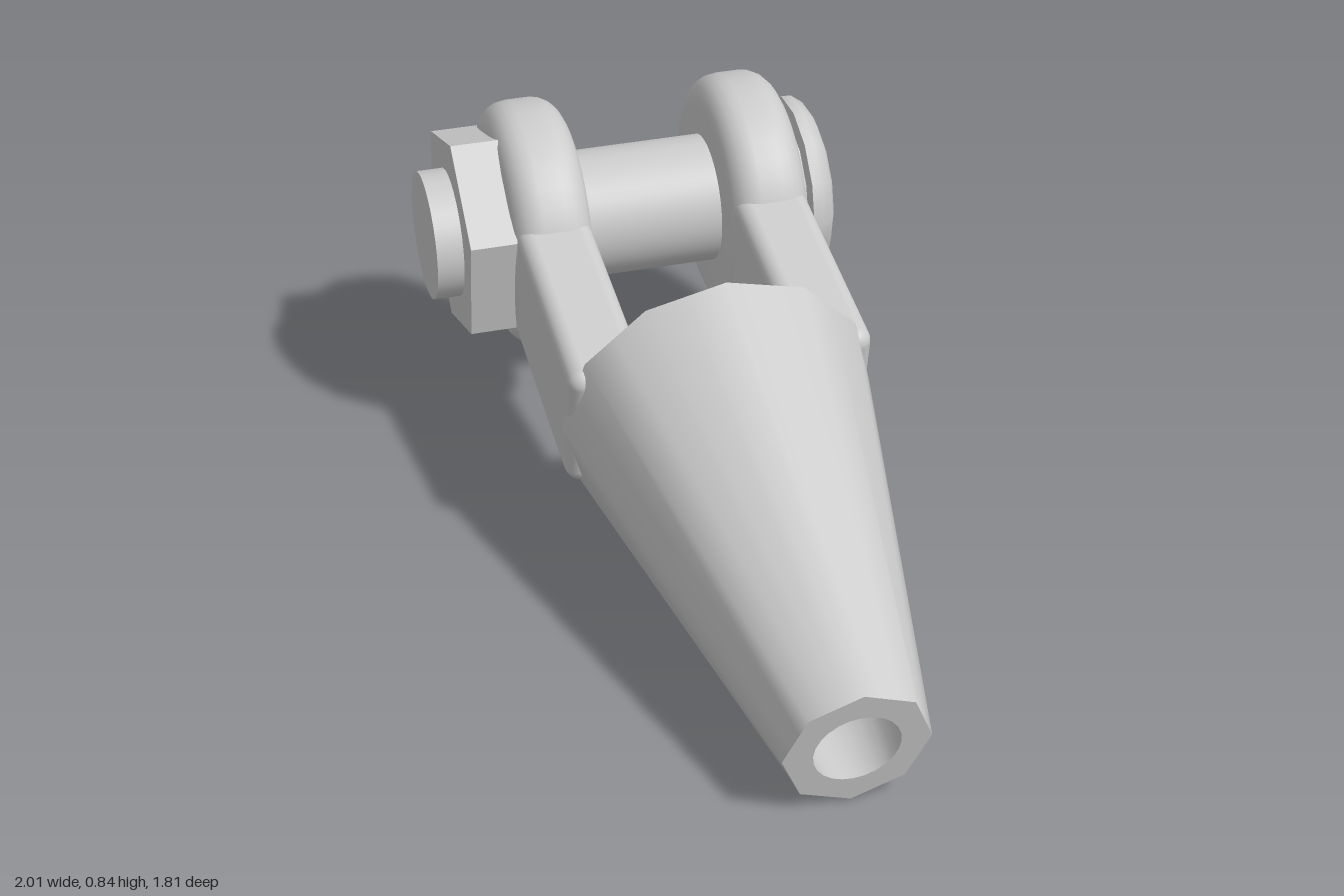
import * as THREE from 'three';
import { toCreasedNormals } from 'three/addons/utils/BufferGeometryUtils.js';
import { RoundedBoxGeometry } from 'three/addons/geometries/RoundedBoxGeometry.js';

const material = new THREE.MeshStandardMaterial({ color: 0xcccccc });

function addPart(parent, name, geometry) {
  const mesh = new THREE.Mesh(geometry, material);
  mesh.name = name;
  parent.add(mesh);
  return mesh;
}

// Solid of revolution about the z axis; points are [radius, z] with z rising
function turned(points, segments, crease) {
  const lathe = new THREE.LatheGeometry(points.map(([r, z]) => new THREE.Vector2(r, z)), segments);
  return toCreasedNormals(lathe.rotateX(Math.PI / 2), crease);
}

// Radius of a regular polygon at a given angle, first corner at angle 0
function polygonRadius(radius, sides, angle) {
  const step = (2 * Math.PI) / sides;
  const local = angle - step * Math.floor(angle / step + 1e-6);
  return (radius * Math.cos(step / 2)) / Math.cos(local - step / 2);
}

// Hollow tapered socket along x: outer skin, end ring, bore, mouth ring
function socketGeometry() {
  const rings = [
    { x: 0.755, r: 0.385, sides: 12 },
    { x: 1.855, r: 0.17, sides: 8 },
    { x: 1.855, r: 0.1, sides: 24 },
    { x: 0.755, r: 0.25, sides: 24 },
  ];
  const n = 24;
  const positions = [];
  const index = [];
  rings.forEach(({ x, r, sides }, i) => {
    for (let j = 0; j < n; j++) {
      const a = (j / n) * Math.PI * 2;
      const radius = polygonRadius(r, sides, a);
      positions.push(x, radius * Math.cos(a), radius * Math.sin(a));
      const next = ((i + 1) % rings.length) * n;
      const k = (j + 1) % n;
      index.push(i * n + j, i * n + k, next + j, next + j, i * n + k, next + k);
    }
  });
  const geometry = new THREE.BufferGeometry();
  geometry.setAttribute('position', new THREE.Float32BufferAttribute(positions, 3));
  geometry.setIndex(index);
  return toCreasedNormals(geometry, 0.9);
}

// Round eye disc with filleted rims
function eyeGeometry(radius, half, fillet) {
  const points = [[0, -half]];
  for (const side of [-1, 1]) {
    for (let i = 0; i <= 5; i++) {
      const a = ((side < 0 ? i - 5 : i) / 5) * (Math.PI / 2);
      points.push([radius - fillet + fillet * Math.cos(a), side * (half - fillet) + fillet * Math.sin(a)]);
    }
  }
  points.push([0, half]);
  return turned(points, 40, 0.6);
}

export function createModel() {
  const model = new THREE.Group();
  model.name = 'openSocket';

  // Local frame: origin at the pin centre, x along the socket, z along the pin
  const body = new THREE.Group();
  body.name = 'socketAssembly';
  body.position.set(-0.48, 0.525, -0.43);
  body.rotation.order = 'YZX';
  body.rotation.y = THREE.MathUtils.degToRad(-41);
  body.rotation.z = THREE.MathUtils.degToRad(-11);
  model.add(body);

  addPart(body, 'taperedSocket', socketGeometry());

  // Fork: two arms ending in round eyes
  for (const side of [-1, 1]) {
    const label = side > 0 ? 'nutSide' : 'headSide';
    const arm = addPart(body, label + 'Arm', new RoundedBoxGeometry(0.59, 0.35, 0.19, 4, 0.04));
    arm.position.set(0.495, 0, side * 0.28);
    const eye = addPart(body, label + 'Eye', eyeGeometry(0.315, 0.1, 0.07));
    eye.position.z = side * 0.28;
  }

  // Pin with its threaded end sticking out past the nut
  addPart(body, 'pin', turned([[0, -0.38], [0.165, -0.38], [0.165, 0.56], [0, 0.56]], 32, 0.6));

  // Domed head, held off the eye by a short neck
  addPart(body, 'pinHead', turned(
    [[0, -0.48], [0.18, -0.475], [0.215, -0.46], [0.237, -0.43], [0.237, -0.405], [0.2, -0.4], [0.2, -0.36]],
    14, 0.75));

  // Hexagonal nut, one corner up
  const nut = new THREE.CylinderGeometry(0.278, 0.278, 0.13, 6).rotateX(Math.PI / 2);
  addPart(body, 'hexNut', toCreasedNormals(nut, 0.5)).position.z = 0.427;

  return model;
}
